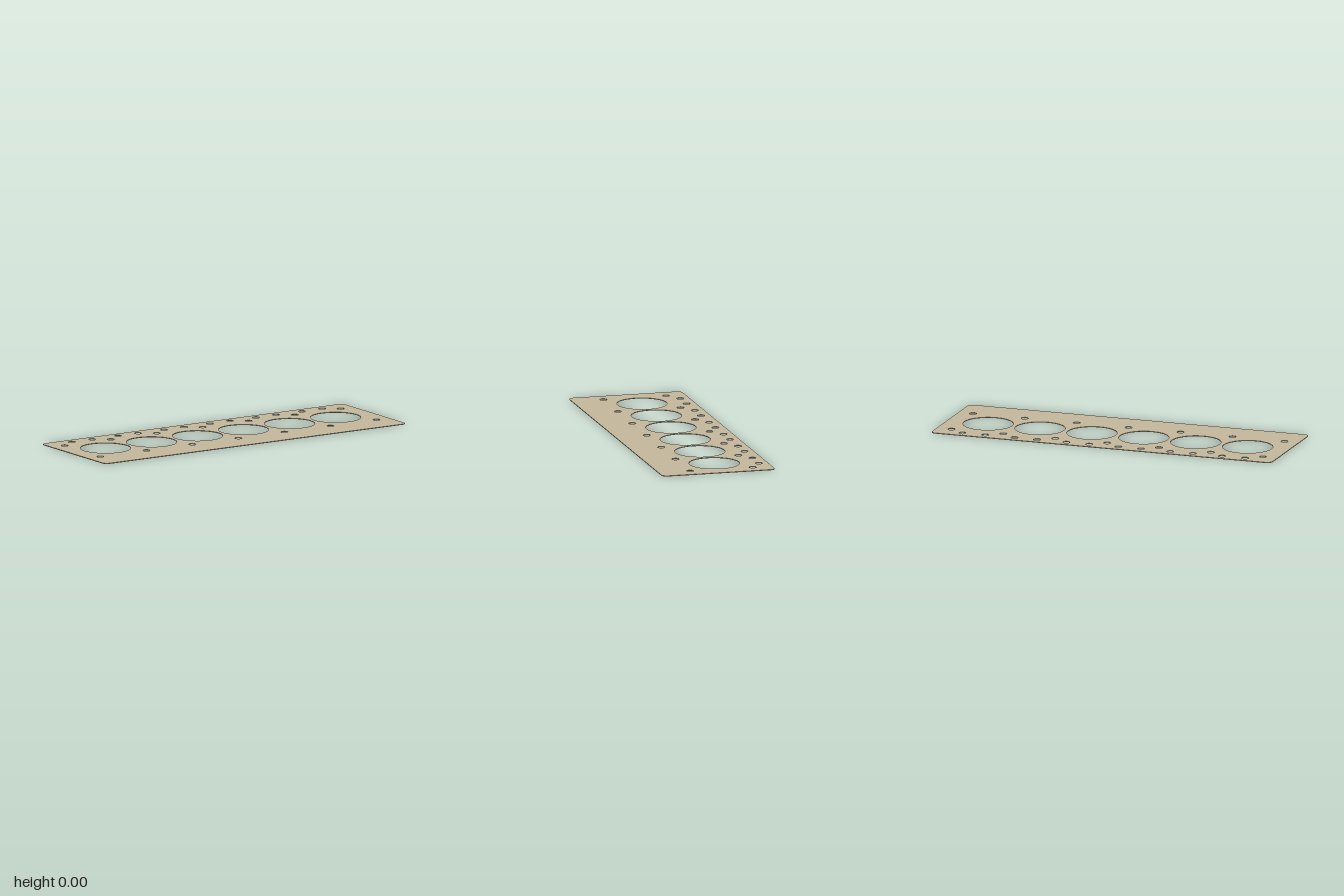
import * as THREE from 'three';

const WIDTH = 2, DEPTH = 0.65, THICKNESS = 0.004, CORNER = 0.03;
const PITCH = 0.305; // spacing between neighbouring bores
const BORES = 6;

// Rounded rectangle centred on the origin
function plateOutline(w, d, r) {
  const x = w / 2 - r, y = d / 2 - r;
  const shape = new THREE.Shape();
  shape.absarc(x, y, r, 0, Math.PI / 2);
  shape.absarc(-x, y, r, Math.PI / 2, Math.PI);
  shape.absarc(-x, -y, r, Math.PI, Math.PI * 1.5);
  shape.absarc(x, -y, r, Math.PI * 1.5, Math.PI * 2);
  shape.closePath();
  return shape;
}

export function createModel() {
  const group = new THREE.Group();
  group.name = 'headGasket';

  const shape = plateOutline(WIDTH, DEPTH, CORNER);
  const addHole = (x, z, r) => {
    shape.holes.push(new THREE.Path().absarc(x, -z, r, 0, Math.PI * 2, true));
  };

  // Cylinder bores, each with a pair of small passages behind it
  for (let i = 0; i < BORES; i++) {
    const x = (i - (BORES - 1) / 2) * PITCH;
    addHole(x, -0.035, 0.14);
    for (const side of [-1, 1]) addHole(x + side * 0.067, -0.273, 0.02);
  }

  // Bolt holes between the bores and at both ends, in two rows
  for (let i = 0; i <= BORES; i++) {
    const x = (i - BORES / 2) * PITCH;
    for (const z of [-0.215, 0.145]) addHole(x, z, 0.02);
  }

  // Thin sheet, laid flat on the ground
  const geometry = new THREE.ExtrudeGeometry(shape, {
    depth: THICKNESS, bevelEnabled: false, curveSegments: 32,
  });
  geometry.rotateX(-Math.PI / 2);

  const plate = new THREE.Mesh(geometry, new THREE.MeshStandardMaterial({ color: 0xc2b59b }));
  plate.name = 'gasketPlate';
  group.add(plate);
  return group;
}
